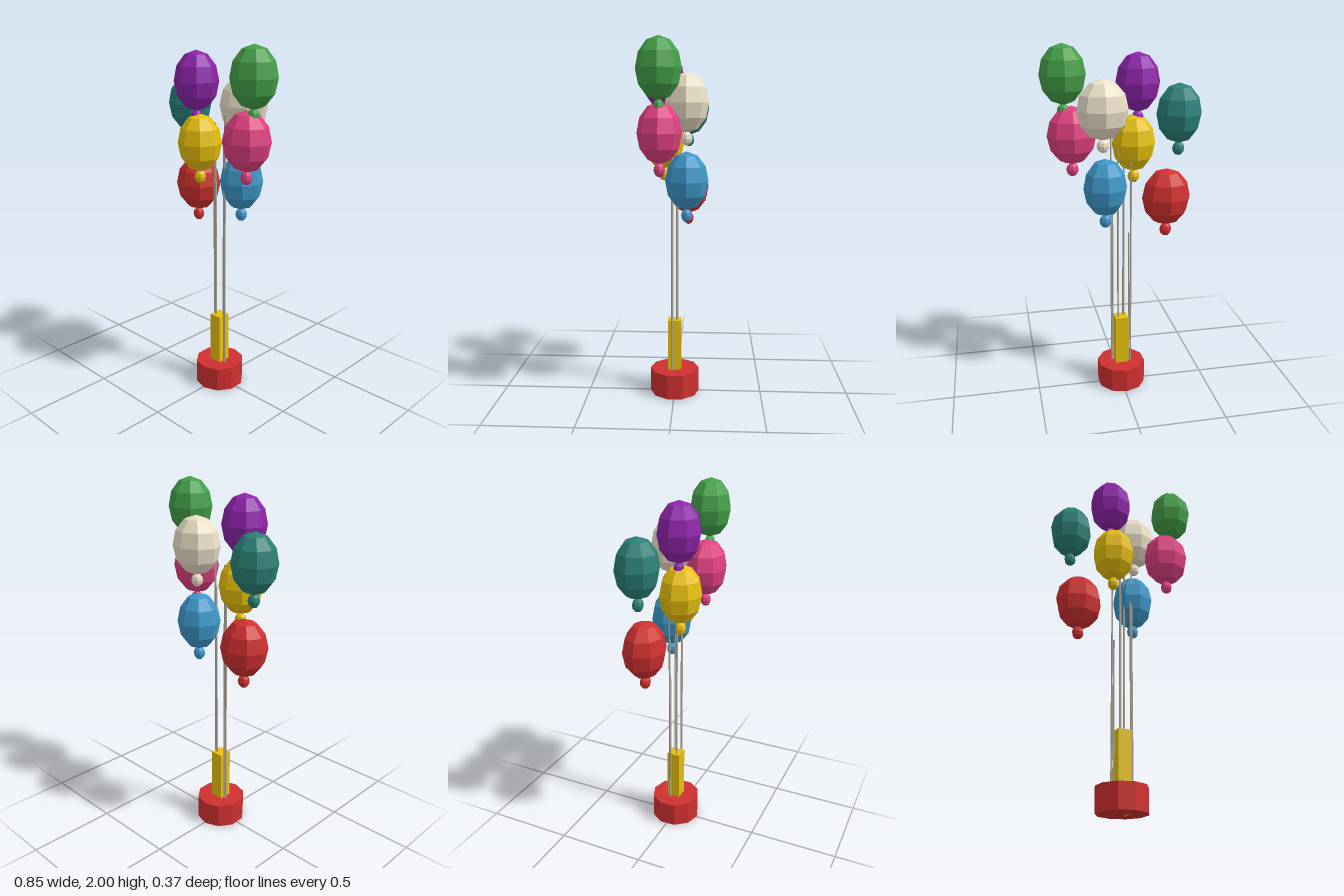
import * as THREE from 'three';

const material = (color) => new THREE.MeshStandardMaterial({ color, flatShading: true });

function part(name, geometry, mat, x, y, z) {
  const mesh = new THREE.Mesh(geometry, mat);
  mesh.name = name;
  mesh.position.set(x, y, z);
  return mesh;
}

// Faceted ellipsoid
const ellipsoid = (rx, ry, rz, rows) => new THREE.SphereGeometry(1, 8, rows).scale(rx, ry, rz);

// name, colour, centre x, centre y, centre z, half width
const BALLOONS = [
  ['green', 0x43a047, 0.3, 1.84, 0.067, 0.125],
  ['purple', 0x8e24aa, -0.106, 1.79, 0.067, 0.124],
  ['teal', 0x2a8078, -0.302, 1.64, -0.07, 0.125],
  ['cream', 0xece0c8, 0.111, 1.67, -0.07, 0.139],
  ['yellow', 0xe6bf0c, -0.085, 1.46, 0.067, 0.123],
  ['pink', 0xe04080, 0.258, 1.515, 0.067, 0.136],
  ['blue', 0x3d97c9, 0.1, 1.25, -0.07, 0.12],
  ['red', 0xd03030, -0.24, 1.18, -0.07, 0.136],
];
const HALF_HEIGHT = 0.16, HALF_DEPTH = 0.118;
const BASE_TOP = 0.14, KNOT_DROP = 0.19;

export function createModel() {
  const model = new THREE.Group();
  model.name = 'balloonStand';

  // Ten-sided weight and square post
  const base = part('base', new THREE.CylinderGeometry(0.14, 0.14, BASE_TOP, 10), material(0xd03030), 0, BASE_TOP / 2, 0);
  base.rotation.y = THREE.MathUtils.degToRad(3);
  model.add(base);
  model.add(part('post', new THREE.BoxGeometry(0.076, 0.435, 0.076), material(0xe6bf0c), 0, 0.2175, 0));

  // Each balloon has a knot, and an upright string gathered close to the post
  const stringMaterial = material(0xb0a898);
  for (const [name, color, x, y, z, halfWidth] of BALLOONS) {
    const balloon = new THREE.Group();
    balloon.name = name + 'Balloon';
    const mat = material(color);
    balloon.add(part('body', ellipsoid(halfWidth, HALF_HEIGHT, HALF_DEPTH, 6), mat, x, y, z));
    balloon.add(part('knot', ellipsoid(0.034, 0.038, 0.03, 6), mat, x, y - KNOT_DROP, z));

    const length = y - 0.22 - BASE_TOP;
    balloon.add(part('string', new THREE.CylinderGeometry(0.005, 0.005, length, 6), stringMaterial,
      x * 0.18, BASE_TOP + length / 2, z * 0.2));
    model.add(balloon);
  }
  return model;
}
